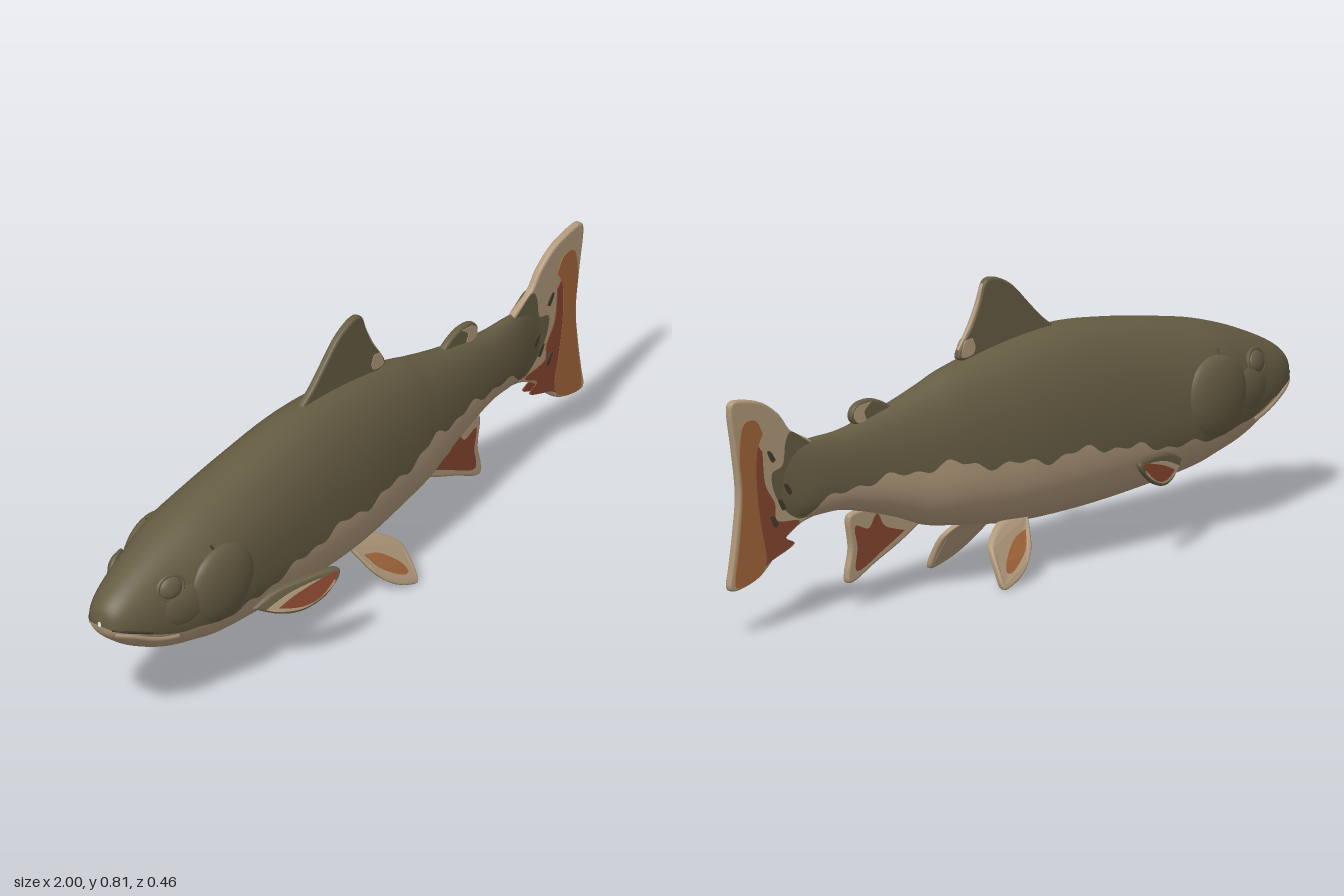
import * as THREE from 'three';

const paint = (hex) => new THREE.MeshStandardMaterial({ color: hex });
const v2 = (p) => p.map(([x, y]) => new THREE.Vector2(x, y));

// Body stations: x, top, bottom, half width, height of the colour border
const STATIONS = [
  [-1, .378, .362, .006, .365], [-.99, .41, .335, .04, .36], [-.96, .44, .305, .066, .35],
  [-.9, .475, .262, .09, .325], [-.8, .52, .212, .116, .29], [-.7, .555, .185, .14, .28],
  [-.6, .58, .162, .148, .268], [-.4, .62, .14, .144, .29], [-.2, .645, .13, .14, .325],
  [0, .635, .135, .13, .325], [.2, .6, .165, .108, .35], [.3, .57, .185, .093, .37],
  [.4, .542, .225, .076, .36], [.5, .52, .258, .06, .36], [.6, .502, .283, .046, .35],
  [.7, .5, .285, .034, .315], [.78, .49, .29, .018, .28], [.86, .43, .35, .005, .28],
];
const curveOf = (a, b) => new THREE.CatmullRomCurve3(
  STATIONS.map((s) => new THREE.Vector3(s[0], s[a], s[b])), false, 'catmullrom', 0.5);
const outlineCurve = curveOf(1, 2), widthCurve = curveOf(3, 4);

function sectionAt(x) {
  let lo = 0, hi = 1;
  for (let i = 0; i < 24; i++) {
    const m = (lo + hi) / 2;
    if (outlineCurve.getPoint(m).x < x) lo = m; else hi = m;
  }
  const a = outlineCurve.getPoint(lo), b = widthCurve.getPoint(lo);
  return { top: a.y, bottom: a.z, width: Math.max(b.y, .002), edge: b.z };
}
const MID = .42; // relative height of the widest point
const roundness = (c) => Math.sqrt(Math.max(0, 1 - Math.abs(c) ** 2.3));
function levelOf(s, y) {
  const r = (y - s.bottom) / (s.top - s.bottom) - MID;
  return THREE.MathUtils.clamp(r > 0 ? r / (1 - MID) : r / MID, -.9999, .9999);
}
const surfaceZ = (x, y) => { const s = sectionAt(x); return s.width * roundness(levelOf(s, y)); };

// One painted strip of the body, above or below the ragged colour border
function bodyStrip(upper) {
  const NX = 170, NA = 40, pos = [], idx = [];
  for (let i = 0; i <= NX; i++) {
    const x = -1 + 1.86 * (i / NX) ** 1.35, s = sectionAt(x);
    const calm = THREE.MathUtils.smoothstep(x, -.85, -.4);
    const ragged = calm * (.009 * Math.sin(31 * x) + .007 * Math.sin(67 * x + 1));
    const border = Math.acos(levelOf(s, s.edge + ragged));
    const from = upper ? -border : border, to = upper ? border : 2 * Math.PI - border;
    for (let j = 0; j <= NA; j++) {
      const t = from + (to - from) * j / NA, c = Math.cos(t);
      const r = MID + (c > 0 ? c * (1 - MID) : c * MID);
      pos.push(x, s.bottom + r * (s.top - s.bottom), Math.sign(Math.sin(t)) * s.width * roundness(c));
      if (i < NX && j < NA) {
        const a = i * (NA + 1) + j, b = a + NA + 1;
        idx.push(a, a + 1, b, b, a + 1, b + 1);
      }
    }
  }
  const g = new THREE.BufferGeometry();
  g.setAttribute('position', new THREE.Float32BufferAttribute(pos, 3));
  g.setIndex(idx);
  g.computeVertexNormals();
  return g;
}

// Flat shape with rounded rim, leaned sideways by the rule lean(x, y)
function slab(pts, thick, z0, lean, bevel) {
  const first = v2(pts), shape = new THREE.Shape();
  shape.setFromPoints(new THREE.SplineCurve([...first, first[0]]).getPoints(pts.length * 6).slice(0, -1));
  const g = new THREE.ExtrudeGeometry(shape, {
    depth: thick - 2 * bevel, bevelEnabled: bevel > 0, bevelThickness: bevel,
    bevelSize: bevel, bevelOffset: -bevel, bevelSegments: 3,
  });
  g.translate(0, 0, z0 - thick / 2 + bevel);
  const p = g.attributes.position;
  for (let i = 0; i < p.count; i++) p.setZ(i, p.getZ(i) + lean(p.getX(i), p.getY(i)));
  g.computeVertexNormals();
  return g;
}

export function createModel() {
  const olive = paint(0x665c43), cream = paint(0xb0987a), orange = paint(0xa1663a),
    red = paint(0x86452f), dark = paint(0x423c2c);
  olive.name = 'olive'; cream.name = 'cream'; orange.name = 'orange';
  red.name = 'rust red'; dark.name = 'dark olive';
  const model = new THREE.Group();
  model.name = 'fish';
  const add = (parent, name, geo, mat) => {
    const m = new THREE.Mesh(geo, mat);
    m.name = name;
    parent.add(m);
    return m;
  };
  // Fin with painted plates; faces lists the sides (+1 / -1) that carry them
  const fin = (name, pts, mat, plates, lean = () => 0, faces = [1, -1]) => {
    const g = new THREE.Group(), T = .022;
    g.name = name;
    model.add(g);
    add(g, name + 'Blade', slab(pts, T, 0, lean, .007), mat);
    plates.forEach(([label, outline, m], k) => faces.forEach((f) =>
      add(g, label, slab(outline, .003, f * (T / 2 + .001 * k), lean, 0), m)));
    return g;
  };
  const line = (parent, name, pts, r, mat) => add(parent, name, new THREE.TubeGeometry(
    new THREE.CatmullRomCurve3(pts.map((p) => new THREE.Vector3(...p))), 24, r, 6), mat);

  // Body
  add(model, 'back', bodyStrip(true), olive);
  add(model, 'belly', bodyStrip(false), cream);

  // Dorsal fin
  const dorsal = fin('dorsalFin', [[-.19, .63], [-.13, .675], [-.08, .725], [-.02, .785], [.04, .815], [.078, .808],
    [.098, .755], [.125, .7], [.17, .635], [.165, .61], [.1, .605], [0, .59], [-.1, .6]], olive,
  [['dorsalFinTip', [[.125, .665], [.15, .66], [.163, .632], [.16, .617], [.125, .62], [.115, .64]], cream]]);
  line(dorsal, 'dorsalFinRim', [[.055, .808, 0], [.076, .8, 0], [.095, .755, 0], [.122, .7, 0], [.164, .635, 0]], .008, cream);

  // Adipose fin
  fin('adiposeFin', [[.4, .52], [.44, .55], [.49, .568], [.54, .562], [.56, .535], [.545, .508], [.5, .5], [.44, .5]],
    olive, [['adiposeFinTip', [[.49, .562], [.535, .557], [.553, .535], [.54, .513], [.51, .515], [.515, .54]], cream]]);

  // Tail fin
  fin('tailFin', [[.66, .47], [.72, .506], [.78, .54], [.82, .59], [.88, .633], [.95, .653], [.99, .653], [.998, .62],
    [.982, .52], [.967, .4], [.975, .3], [.99, .2], [.998, .145], [.97, .133], [.9, .15], [.85, .185], [.8, .24],
    [.74, .275], [.66, .3], [.65, .38]], cream, [
    ['tailFinRoot', [[.68, .47], [.73, .505], [.78, .535], [.8, .51], [.81, .45], [.85, .43], [.83, .36], [.77, .3],
      [.73, .29], [.68, .31]], olive],
    ['tailFinRust', [[.885, .5], [.93, .53], [.93, .3], [.9, .18], [.85, .195], [.77, .225], [.8, .25], [.75, .285], [.83, .3],
      [.84, .35], [.875, .41]], red],
    ['tailFinBand', [[.885, .55], [.91, .59], [.955, .585], [.967, .5], [.957, .4], [.967, .27], [.982, .16], [.96, .142], [.9, .158],
      [.87, .2], [.89, .3], [.905, .4], [.905, .5]], orange],
    ...[[.8, .33], [.84, .47], [.78, .37], [.83, .29]].map(([x, y]) =>
      ['tailFinFleck', [[x, y], [x + .016, y + .024], [x + .028, y + .026], [x + .012, y - .004]], dark]),
  ]);

  // Anal fin
  fin('analFin', [[.3, .2], [.38, .155], [.47, .115], [.54, .08], [.57, .078], [.572, .11], [.56, .17], [.57, .245], [.555, .266],
    [.5, .27], [.42, .27], [.34, .25]], cream,
  [['analFinPatch', [[.37, .185], [.44, .15], [.54, .105], [.54, .17], [.548, .23], [.5, .215], [.47, .25], [.44, .21]], red]]);

  for (const side of [1, -1]) {
    const label = side > 0 ? 'front' : 'back';

    // Pelvic fin
    fin(label + 'PelvicFin', [[-.035, .165], [-.02, .13], [.01, .075], [.06, .03], [.12, .005], [.142, .008], [.145, .05],
      [.138, .105], [.1, .138], [.05, .16]], cream,
    [['pelvicFinPatch', [[0, .13], [.03, .085], [.09, .045], [.115, .045], [.1, .075], [.05, .115]], orange]],
    (x, y) => side * (.056 + .8 * (.15 - y) - 1.4 * (.15 - y) ** 2));

    // Pectoral fin
    fin(label + 'PectoralFin', [[-.52, .235], [-.46, .265], [-.38, .28], [-.3, .288], [-.278, .28], [-.295, .25], [-.34, .215],
      [-.4, .197], [-.46, .205]], olive, [
      ['pectoralFinRim', [[-.49, .225], [-.42, .255], [-.33, .272], [-.3, .255], [-.345, .222], [-.4, .205], [-.46, .212]], cream],
      ['pectoralFinPatch', [[-.46, .222], [-.4, .25], [-.31, .278], [-.293, .272], [-.345, .225], [-.4, .211]], red],
    ], (x, y) => side * (.128 + .46 * (x + .5) + .3 * (.25 - y)), [side]);

    // Gill cover, cheek and crease
    const onSkin = (x, y, lift) => [x, y, side * (surfaceZ(x, y) + lift)];
    const gill = add(model, label + 'GillCover', new THREE.SphereGeometry(1, 32, 20), olive);
    gill.scale.set(.12, .115, .04);
    gill.position.set(-.645, .375, side * .121);
    gill.rotation.y = side * -.08;
    const cheek = add(model, label + 'Cheek', new THREE.SphereGeometry(1, 28, 18), olive);
    cheek.scale.set(.1, .07, .03);
    cheek.position.set(-.77, .365, side * .1);
    cheek.rotation.y = side * -.2;
    line(model, label + 'GillCrease', [[-.67, .5], [-.655, .46], [-.63, .435], [-.59, .415], [-.55, .405]]
      .map(([x, y]) => onSkin(x, y, .001)), .004, dark);

    // Eye with socket rim
    const eye = new THREE.Group();
    eye.name = label + 'Eye';
    eye.position.set(...onSkin(-.82, .435, -.002));
    eye.rotation.set(side * -.25, side * -.3, 0);
    model.add(eye);
    add(eye, 'eyeball', new THREE.SphereGeometry(1, 24, 16), olive).scale.set(.036, .032, .016);
    add(eye, 'eyeRim', new THREE.TorusGeometry(.04, .006, 8, 28), olive).scale.set(1, .85, 1);

    // Mouth line and lip
    line(model, label + 'MouthLine', [[-.992, .362], [-.96, .352], [-.92, .338], [-.89, .325]]
      .map(([x, y]) => onSkin(x, y, 0)), .004, dark);
    line(model, label + 'Lip', [[-.985, .346], [-.95, .335], [-.9, .31], [-.85, .29], [-.8, .28]]
      .map(([x, y]) => onSkin(x, y, -.002)), .009, cream);
  }
  return model;
}
